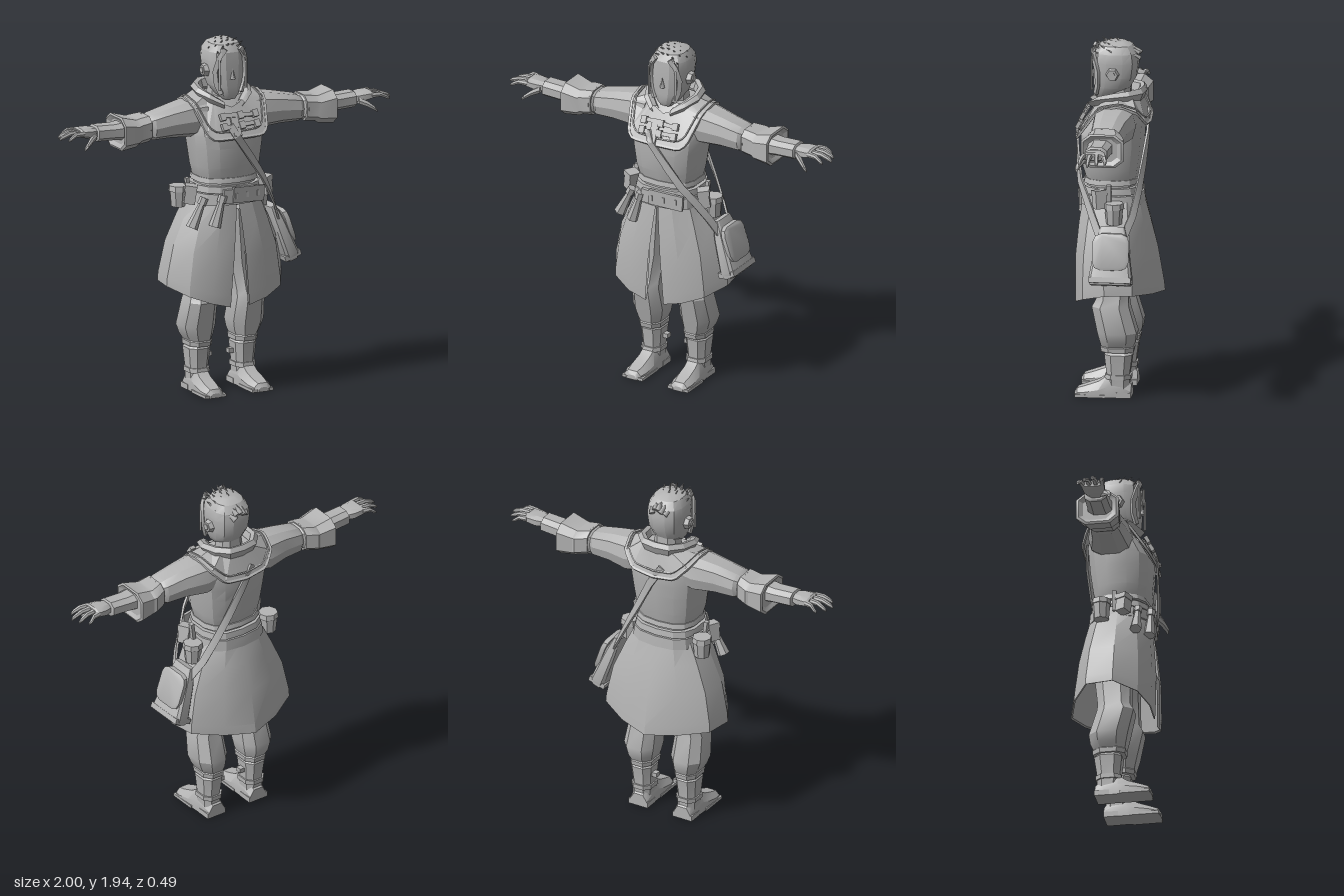
import * as THREE from 'three';
import { toCreasedNormals } from 'three/addons/utils/BufferGeometryUtils.js';

const V = (x, y, z) => new THREE.Vector3(x, y, z);

// Skin a list of equal-length point rows; closed rows get end caps
function skin(rows, closed = true, caps = true, flipCheck = true) {
  const n = rows[0].length, pos = [], idx = [];
  rows.forEach(r => r.forEach(p => pos.push(p.x, p.y, p.z)));
  const last = closed ? n : n - 1;
  for (let i = 0; i < rows.length - 1; i++) for (let j = 0; j < last; j++) {
    const a = i * n + j, b = i * n + (j + 1) % n, c = a + n, d = b + n;
    idx.push(a, c, b, b, c, d);
  }
  if (closed && caps) [0, rows.length - 1].forEach((i, k) => {
    for (let j = 1; j < n - 1; j++) {
      const t = [i * n, i * n + j, i * n + j + 1];
      idx.push(...(k ? [t[0], t[2], t[1]] : t));
    }
  });
  // Face outwards: flip the winding when the enclosed volume is negative
  const at = i => V(pos[3 * i], pos[3 * i + 1], pos[3 * i + 2]);
  let vol = 0;
  if (flipCheck) for (let i = 0; i < idx.length; i += 3) vol += at(idx[i]).dot(at(idx[i + 1]).cross(at(idx[i + 2])));
  if (vol < 0) idx.reverse();
  const g = new THREE.BufferGeometry();
  g.setAttribute('position', new THREE.Float32BufferAttribute(pos, 3));
  g.setIndex(idx);
  return toCreasedNormals(g, 0.45);
}

// Rounded-box outline in a unit square
function outline(n, e = 0.75) {
  return Array.from({ length: n }, (_, i) => {
    const t = (i + 0.5) / n * Math.PI * 2, f = v => Math.sign(v) * Math.abs(v) ** e;
    return [f(Math.cos(t)), f(Math.sin(t))];
  });
}
// Rings stacked on y: [y, x0, x1, z0, z1]
const loftY = (rings, n = 12, e) => skin(rings.map(([y, x0, x1, z0, z1]) => outline(n, e).map(([u, v]) =>
  V((x0 + x1) / 2 + u * (x1 - x0) / 2, y, (z0 + z1) / 2 + v * (z1 - z0) / 2))));
// Symmetric rings: [y, halfWidth, z0, z1]
const body = (rings, n, e) => loftY(rings.map(([y, h, a, b]) => [y, -h, h, a, b]), n, e);
// Rings strung along x: [x, y0, y1, z0, z1]
const loftX = (rings, s, n = 8, e) => skin(rings.map(([x, y0, y1, z0, z1]) => outline(n, e).map(([u, v]) =>
  V(s * x, (y0 + y1) / 2 + u * (y1 - y0) / 2, (z0 + z1) / 2 + v * (z1 - z0) / 2))));

// Flat strap following a path, lying against the body axis
function strap(pts, w, t = 0.012) {
  const p = pts.map(a => V(...a));
  return skin(p.map((c, i) => {
    const tan = p[Math.min(i + 1, p.length - 1)].clone().sub(p[Math.max(i - 1, 0)]).normalize();
    const out = V(c.x, 0, c.z - 0.03).normalize();
    const side = tan.clone().cross(out).normalize().multiplyScalar(w / 2);
    out.multiplyScalar(t / 2);
    return [[1, 1], [1, -1], [-1, -1], [-1, 1]].map(([a, b]) => c.clone().addScaledVector(side, a).addScaledVector(out, b));
  }));
}
// Mirror a half outline running from front centre to back centre into a full loop
const loop = half => [...half.map(a => V(...a)), ...half.slice(1, -1).reverse().map(([x, y, z]) => V(-x, y, z))];

export function createModel() {
  const root = new THREE.Group();
  const grey = new THREE.MeshStandardMaterial({ color: 0xb4b4b4, side: THREE.DoubleSide });
  grey.name = 'plain grey';
  const add = (name, geo, parent = root, pos, rot) => {
    const m = new THREE.Mesh(geo, grey);
    m.name = name;
    if (pos) m.position.set(...pos);
    if (rot) m.rotation.set(...rot);
    parent.add(m);
    return m;
  };
  const box = (...s) => new THREE.BoxGeometry(...s);
  const cyl = (a, b, h, n = 8) => toCreasedNormals(new THREE.CylinderGeometry(a, b, h, n), 0.6);

  // Torso
  add('torso', body([[1.04, .165, -.105, .19], [1.17, .16, -.095, .185], [1.2, .172, -.1, .19], [1.25, .185, -.11, .205],
    [1.36, .2, -.125, .215], [1.43, .21, -.13, .215], [1.5, .21, -.135, .175], [1.57, .2, -.12, .125], [1.62, .13, -.1, .09]], 14));
  // Yoke over chest, shoulders and upper back, with a raised rim
  const hem = loop([[0, 1.42, .23], [.14, 1.42, .222], [.178, 1.45, .2], [.215, 1.59, .1], [.22, 1.618, -.01],
    [.195, 1.575, -.11], [.13, 1.505, -.148], [0, 1.49, -.155]]);
  const neckline = loop([[0, 1.57, .14], [.05, 1.59, .13], [.09, 1.61, .1], [.11, 1.635, .06], [.115, 1.645, 0],
    [.1, 1.65, -.07], [.06, 1.65, -.1], [0, 1.65, -.11]]);
  add('yoke', skin([hem, neckline], true, false));
  add('yokeRim', toCreasedNormals(new THREE.TubeGeometry(new THREE.CatmullRomCurve3(hem, true, 'catmullrom', 0.1), 56, .009, 4, true), 0.6));
  const inner = hem.map((p, i) => p.clone().lerp(neckline[i], .2).add(V(0, .004, p.z > 0 ? .006 : -.006)));
  add('yokeSeam', toCreasedNormals(new THREE.TubeGeometry(new THREE.CatmullRomCurve3(inner, true, 'catmullrom', 0.1), 56, .005, 4, true), 0.6));
  // Standing collar, open at the throat
  const collarHalf = [[0, -.115], [.07, -.105], [.12, -.05], [.135, .03], [.105, .1], [.05, .145]];
  const collarRow = (k, dy) => [...collarHalf.slice(1).reverse().map(([x, z], i) => [-x, z, 5 - i]), ...collarHalf.map(([x, z], i) => [x, z, i])]
    .map(([x, z, i]) => V(x * k, 1.615 - [0, 0, 0, .005, .02, .045][i] + dy * [1, 1, .95, .85, .7, .5][i], z * k));
  add('collar', skin([collarRow(1.05, 0), collarRow(1.22, .045), collarRow(1.08, .07), collarRow(.9, .062), collarRow(.8, .02)], false));
  // Chest fastenings
  [[1.535, .19], [1.485, .213]].forEach(([y, z], i) => {
    add('chestStrap', box(.22, .022, .014), root, [.01, y, z], [-.5, 0, i ? .05 : -.05]);
    [-.085, .02, .11].forEach(x => add('chestBuckle', box(.032, .04, .02), root, [x, y, z + .004], [-.5, 0, .1]));
  });
  add('chestPlacket', box(.045, .13, .012), root, [-.015, 1.49, .208], [-.5, 0, 0]);

  // Head, neck and ears
  add('neck', body([[1.56, .075, -.06, .07], [1.7, .065, -.055, .07]], 8));
  add('head', body([[1.61, .035, .07, .13], [1.635, .058, .01, .143], [1.68, .085, -.055, .147], [1.74, .1, -.088, .148],
    [1.82, .108, -.098, .147], [1.87, .103, -.09, .142], [1.91, .08, -.06, .115], [1.928, .04, -.02, .07]], 12));
  add('nose', new THREE.ConeGeometry(.016, .06, 4), root, [0, 1.755, .148]);
  for (const s of [1, -1]) {
    add('ear', cyl(.03, .038, .028, 6), root, [s * .112, 1.765, .035], [0, 0, -s * Math.PI / 2]);
    add('earHollow', cyl(.018, .018, .01, 6), root, [s * .127, 1.765, .035], [0, 0, -s * Math.PI / 2]);
    add('sideHair', strap([[s * .045, 1.895, .147], [s * .075, 1.85, .138], [s * .09, 1.77, .118], [s * .082, 1.7, .118], [s * .06, 1.645, .13]], .026, .016));
    add('hairStrand', strap([[s * .06, 1.9, .14], [s * .082, 1.83, .15], [s * .08, 1.67, .15]], .012, .008));
  }
  // Rows of pointed locks sweeping forward
  const hair = new THREE.Group();
  hair.name = 'hair';
  root.add(hair);
  for (let r = 0; r < 6; r++) for (let c = 0; c < 5 + r % 2; c++) {
    const u = (c - (4 + r % 2) / 2) / 2.6, z = -.07 + r * .036;
    const x = u * .088 * Math.sqrt(Math.max(.3, 1 - ((z - .025) / .15) ** 2));
    const y = 1.92 - .042 * u * u - (z < -.02 ? .025 : 0) - (z > .09 ? .014 : 0);
    const lock = add('hairLock', new THREE.ConeGeometry(.02, .07 + .012 * ((r * 3 + c * 2) % 3), 4), hair, [x, y, z]);
    lock.scale.z = .6;
    lock.quaternion.setFromUnitVectors(V(0, 1, 0), V(u * .55, .55, .75).normalize());
  }

  // Arms and hands
  for (const s of [1, -1]) {
    const arm = new THREE.Group();
    arm.name = s > 0 ? 'leftArm' : 'rightArm';
    root.add(arm);
    add('sleeve', loftX([[.13, 1.43, 1.61, -.1, .13], [.21, 1.41, 1.612, -.105, .13], [.33, 1.42, 1.59, -.075, .12],
      [.44, 1.42, 1.566, -.06, .115], [.46, 1.43, 1.555, -.045, .1], [.48, 1.42, 1.565, -.06, .12]], s, 10), arm);
    add('cuff', loftX([[.47, 1.42, 1.567, -.06, .12], [.535, 1.41, 1.557, -.085, .125], [.55, 1.4, 1.555, -.08, .13],
      [.64, 1.388, 1.58, -.098, .142], [.645, 1.4, 1.57, -.085, .13], [.63, 1.42, 1.55, -.06, .1]], s, 8, .6), arm);
    add('forearm', loftX([[.58, 1.44, 1.55, -.04, .11], [.67, 1.45, 1.54, -.03, .1], [.78, 1.455, 1.545, -.025, .1], [.785, 1.465, 1.535, -.01, .09]], s), arm);
    add('palm', loftX([[.775, 1.475, 1.53, .0, .08], [.82, 1.475, 1.54, -.02, .1], [.875, 1.49, 1.54, -.025, .105], [.885, 1.497, 1.533, -.02, .1]], s), arm);
    [[-.012, .95, -.03], [.023, .985, .012], [.058, 1.0, .058], [.09, .97, .105]].forEach(([z, tip, z2]) => {
      const m = (.875 + tip) / 2, zm = (z + z2) / 2;
      add('finger', loftX([[.87, 1.502, 1.532, z - .015, z + .015], [m, 1.505, 1.53, zm - .013, zm + .013],
        [tip - .015, 1.49, 1.512, z2 - .01, z2 + .01], [tip, 1.485, 1.498, z2 - .005, z2 + .005]], s, 6), arm);
    });
    add('thumb', loftX([[.795, 1.475, 1.515, .06, .1], [.835, 1.46, 1.495, .09, .125], [.87, 1.44, 1.465, .115, .14], [.885, 1.43, 1.445, .122, .136]], s, 6), arm);
  }

  // Coat skirt, split at the front: waist point to hem point for each fold
  const half = [[0.003, .2, .055, .49, .23], [.08, .195, .165, .52, .225], [.155, .14, .275, .56, .175], [.185, .05, .348, .6, .05],
    [.17, -.05, .325, .6, -.1], [.1, -.108, .17, .577, -.19], [0, -.12, 0, .555, -.238]];
  const skirtRow = (f, k = 1) => [...half.map(a => [1, a]), ...half.slice(0, -1).reverse().map(a => [-1, a])].map(([s, [x, z, hx, hy, hz]]) => {
    const bulge = 1 + .13 * Math.sin(f * Math.PI);
    return V(s * (x + (hx - x) * f) * bulge * k, 1.09 + (hy - 1.09) * f, (z + (hz - z) * f) * (1 + .08 * Math.sin(f * Math.PI)) * k);
  });
  add('coatSkirt', skin([skirtRow(0), skirtRow(.25), skirtRow(.55), skirtRow(.9), skirtRow(1), skirtRow(.99, .96), skirtRow(.5, .96)], false));

  // Belts and hanging gear
  [[1.165, 1.192, .178, -.112, .2], [1.115, 1.15, .188, -.122, .21], [1.05, 1.11, .198, -.132, .218]].forEach(([a, b, h, z0, z1]) =>
    add('belt', body([[a, h, z0, z1], [b, h - .006, z0 + .006, z1 - .006]], 14)));
  add('beltPlate', box(.2, .085, .016), root, [.06, 1.1, .212], [0, .12, -.06]);
  add('beltBuckle', box(.055, .075, .02), root, [-.06, 1.1, .214], [0, -.1, 0]);
  [-.02, .05, .12].forEach(x => add('beltStud', box(.014, .03, .014), root, [x, 1.1, .224 - x * .12]));
  [[-.225, 1.0, .16, -.45], [-.125, 1.01, .215, -.3]].forEach(([x, y, z, r]) => {
    const vial = new THREE.Group();
    vial.name = 'hangingVial';
    vial.position.set(x, y, z);
    vial.rotation.z = r;
    root.add(vial);
    add('vialBody', cyl(.017, .033, .14, 6), vial);
    add('vialCap', cyl(.024, .024, .04, 6), vial, [0, .085, 0]);
  });
  for (const s of [1, -1]) {
    const y = s > 0 ? 1.02 : 1.06;
    add('roundPouch', cyl(.05, .042, .09), root, [s * .235, y, s > 0 ? .01 : -.03]);
    add('pouchLid', cyl(.052, .056, .03), root, [s * .235, y + .055, s > 0 ? .01 : -.03]);
    add('sidePouch', box(.06, .09, .06), root, [s * .225, 1.1, .09], [0, s * .5, s * .15]);
    add('pouchFlap', box(.066, .03, .068), root, [s * .222, 1.14, .09], [0, s * .5, s * .15]);
    add('toolHandle', box(.02, .11, .025), root, [s * .215, 1.13, .04], [0, 0, -s * .12]);
  }

  // Satchel leaning on the left hip
  const bag = new THREE.Group();
  bag.name = 'satchel';
  bag.position.set(.335, .83, .01);
  bag.rotation.z = .33;
  root.add(bag);
  add('satchelBody', loftY([[-.165, -.035, .035, -.11, .11], [-.13, -.045, .05, -.118, .118], [.06, -.035, .035, -.088, .088],
    [.15, -.02, .02, -.065, .065]], 12, .4), bag);
  add('satchelFlap', loftX([[.03, -.09, .115, -.095, .095], [.055, -.09, .11, -.1, .1], [.062, -.075, .095, -.085, .085]], 1, 12, .45), bag);
  add('satchelBase', box(.1, .03, .225), bag, [0, -.14, 0]);
  add('shoulderStrapFront', strap([[-.05, 1.49, .215], [-.02, 1.43, .238], [.08, 1.29, .222], [.15, 1.19, .203], [.205, 1.11, .165], [.27, 1, .115], [.315, .9, .07]], .04));
  add('shoulderStrapBack', strap([[-.05, 1.55, -.14], [.02, 1.44, -.148], [.1, 1.28, -.132], [.17, 1.15, -.115], [.24, 1.02, -.09], [.3, .92, -.05]], .04));

  // Legs and boots
  for (const s of [1, -1]) {
    const leg = new THREE.Group();
    leg.name = s > 0 ? 'leftLeg' : 'rightLeg';
    root.add(leg);
    const at = rings => rings.map(([y, a, b, z0, z1]) => s > 0 ? [y, a, b, z0, z1] : [y, -b, -a, z0, z1]);
    add('trousers', loftY(at([[.27, .075, .2, -.085, .09], [.31, .06, .225, -.105, .1], [.36, .05, .243, -.112, .112],
      [.5, .056, .23, -.07, .142], [.54, .06, .215, -.065, .12], [.7, .03, .2, -.085, .12], [1, .0, .17, -.1, .14]]), 8), leg);
    add('kneeBand', loftY(at([[.25, .068, .208, -.092, .092], [.275, .066, .21, -.095, .097], [.285, .075, .2, -.085, .09]]), 8), leg);
    add('bootShaft', loftY(at([[.03, .083, .195, -.072, .06], [.12, .083, .195, -.068, .062], [.235, .072, .207, -.085, .075], [.25, .085, .195, -.07, .065]]), 8), leg);
    add('ankleStrap', loftY(at([[.1, .075, .203, -.078, .075], [.125, .075, .203, -.078, .07]]), 8), leg);
    // Foot sections from heel to toe: [z, halfWidth, top]
    add('foot', skin([[-.075, .05, .07], [-.03, .056, .11], [.05, .058, .12], [.1, .06, .085], [.17, .062, .06], [.215, .05, .045], [.23, .03, .025]]
      .map(([z, w, h]) => [[-w, 0], [w, 0], [w, h * .5], [w * .55, h], [-w * .55, h], [-w, h * .5]].map(([x, y]) => V(s * (.138 + z * .03) + x, y, z)))), leg);
    add('sole', box(.128, .016, .16), leg, [s * .142, .008, .145]);
    add('bootHeel', box(.118, .03, .08), leg, [s * .138, .015, -.035]);
    add('bootBuckle', box(.03, .025, .035), leg, [s * .067, .185, -.01]);
  }
  return root;
}
